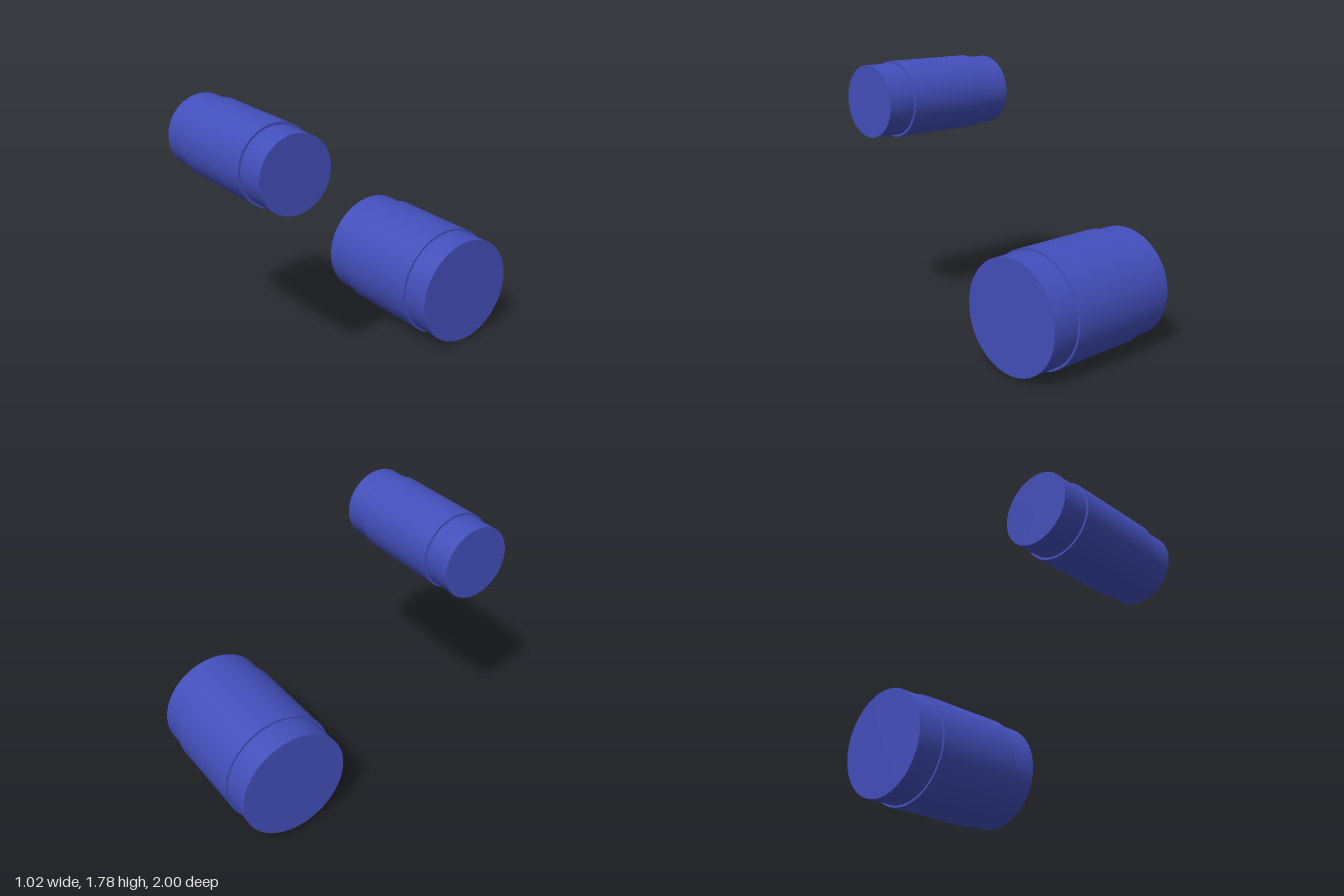
import * as THREE from 'three';
import { toCreasedNormals } from 'three/addons/utils/BufferGeometryUtils.js';

const HALF_LENGTH = 0.512;
const HALF_BAND = 0.32;
const STEP = 0.015; // how far the middle band stands proud of the ends

// Solid stepped roller lying along x
function roller(name, radius, y, z, material) {
  const end = radius - STEP;
  const profile = [
    [0, -HALF_LENGTH], [end, -HALF_LENGTH], [end, -HALF_BAND], [radius, -HALF_BAND],
    [radius, HALF_BAND], [end, HALF_BAND], [end, HALF_LENGTH], [0, HALF_LENGTH],
  ].map(([r, h]) => new THREE.Vector2(r, h));
  const geometry = toCreasedNormals(new THREE.LatheGeometry(profile, 96), 0.6);
  geometry.rotateZ(-Math.PI / 2);
  const mesh = new THREE.Mesh(geometry, material);
  mesh.name = name;
  mesh.position.set(0, y, z);
  return mesh;
}

export function createModel() {
  const group = new THREE.Group();
  group.name = 'rollerPair';
  const blue = new THREE.MeshStandardMaterial({ color: 0x434fbb });
  group.add(
    roller('largeLowerRoller', 0.383, 0.383, -0.617, blue),
    roller('smallUpperRoller', 0.255, 1.527, 0.745, blue),
  );
  return group;
}
